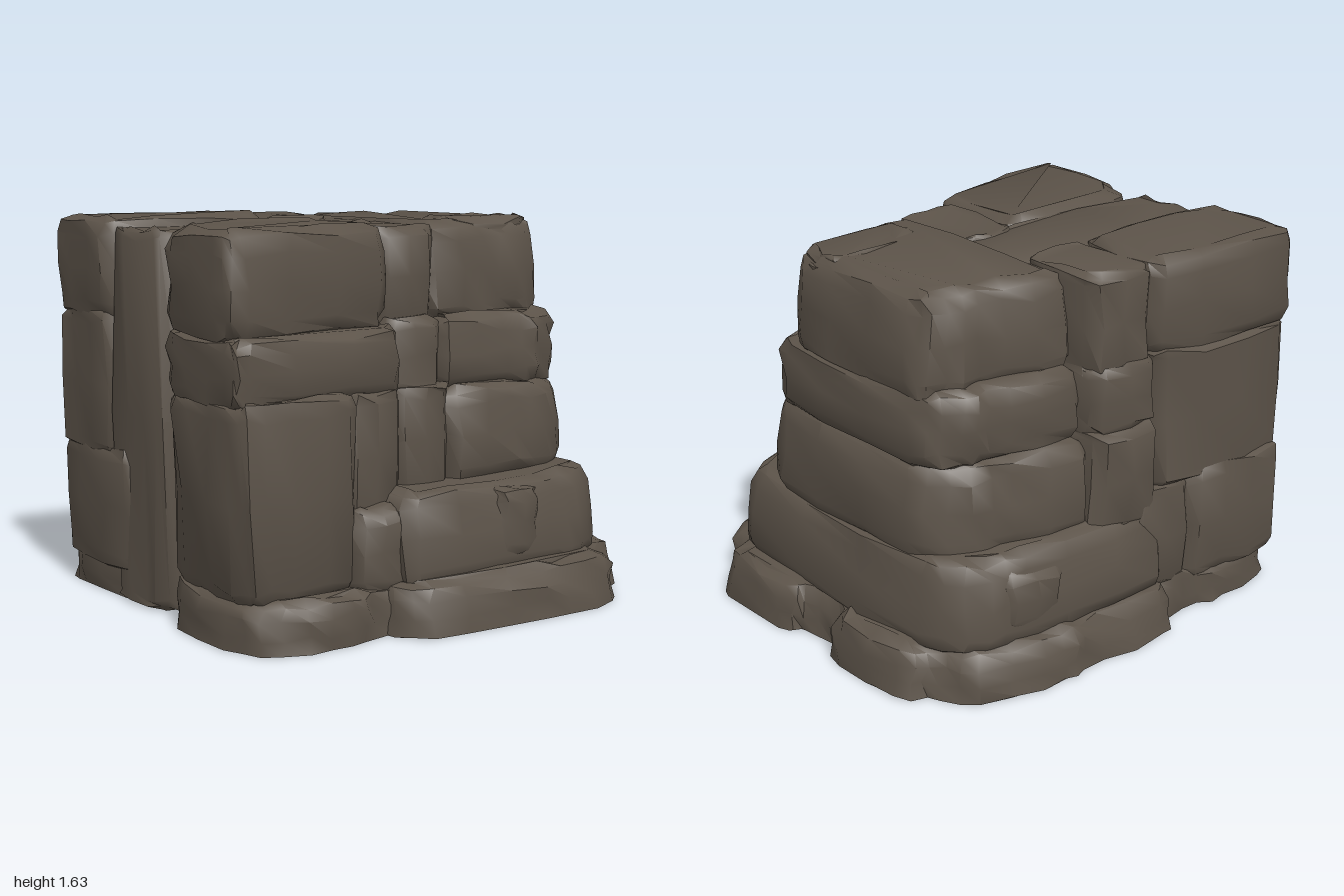
import * as THREE from 'three';
import { toCreasedNormals } from 'three/addons/utils/BufferGeometryUtils.js';

const rock = new THREE.MeshStandardMaterial({ color: 0x5c5349 });
rock.name = 'brown rock';

// repeatable noise from a position, -1..1
function noise(x, y, z, k) {
  const s = Math.sin(Math.round(x * 500) * 12.99 + Math.round(y * 500) * 78.23 + Math.round(z * 500) * 37.72 + k * 41.3) * 43758.5;
  return 2 * (s - Math.floor(s)) - 1;
}

// clip the corners of a plan outline and swell its edges a little
function weather(plan) {
  const out = [];
  plan.forEach(([ax, az], i) => {
    const [bx, bz] = plan[(i + 1) % plan.length];
    const dx = bx - ax, dz = bz - az, len = Math.hypot(dx, dz);
    const cut = Math.min(0.05 / len, 0.28);
    const steps = len > 0.5 ? [cut, 0.35, 0.68, 1 - cut] : len > 0.2 ? [cut, 0.5, 1 - cut] : [cut, 1 - cut];
    steps.forEach((t) => {
      const push = t > cut && t < 1 - cut ? 0.012 : 0;
      out.push(new THREE.Vector2(ax + dx * t + (dz / len) * push, -(az + dz * t - (dx / len) * push)));
    });
  });
  return out;
}

// one stone: plan outline [x, z] (clockwise from above), rounded above and below,
// widened towards its foot by flare, and roughened
function stone(name, y0, y1, plan, bevel = 0.06, flare = 0) {
  const geo = new THREE.ExtrudeGeometry(new THREE.Shape(weather(plan)), {
    depth: y1 - y0 - 2 * bevel, steps: 2, bevelEnabled: true, bevelSegments: 2,
    bevelThickness: bevel, bevelSize: bevel * 0.85, bevelOffset: -bevel * 0.85,
  });
  geo.rotateX(-Math.PI / 2).translate(0, y0 + bevel, 0);
  const p = geo.attributes.position;
  for (let i = 0; i < p.count; i++) {
    const x = p.getX(i), y = p.getY(i), z = p.getZ(i);
    const wide = 1 + flare * (y1 - Math.max(y, 0)) / (y1 - Math.max(y0, 0));
    p.setXYZ(i,
      THREE.MathUtils.clamp(x * wide + 0.014 * noise(x, y, z, 1), -1, 1),
      Math.max(0, y + 0.014 * noise(x, y, z, 2)),
      z * wide + 0.014 * noise(x, y, z, 3));
  }
  geo.deleteAttribute('uv');
  const mesh = new THREE.Mesh(toCreasedNormals(geo, 0.85), rock);
  mesh.name = name;
  return mesh;
}

// stone with straight sides, front and back edges slanting between left and right ends
const block = (name, y0, y1, xa, xb, backA, backB, frontA, frontB, bevel, flare) =>
  stone(name, y0, y1, [[xa, backA], [xb, backB], [xb, frontB], [xa, frontA]], bevel, flare);

// front wall stone whose outer end leaves a cleft beside the saddle; chop clips its front corner
const wallEnd = (name, y0, y1, xb, frontA, frontB, chop, bevel, flare) =>
  stone(name, y0, y1, [[-0.82, -0.01], [xb, -0.01], [xb, frontB], [-1 + chop, frontA],
    [-1, frontA - chop], [-1, 0.2]], bevel, flare);

export function createModel() {
  const model = new THREE.Group();
  model.name = 'rockOutcrop';
  const add = (...m) => model.add(...m);

  // solid heart that closes the seams
  const core = new THREE.Mesh(new THREE.BoxGeometry(1.46, 1.48, 0.84), rock);
  core.name = 'core';
  core.position.set(-0.05, 0.78, -0.08);
  add(core);

  // foot slabs, cut flat at the ground
  add(stone('footRight', -0.08, 0.21, [
    [-0.27, -0.8], [-0.23, -0.89], [0.2, -0.87], [0.42, -0.89], [0.79, -0.8], [0.83, -0.63],
    [0.95, -0.6], [0.97, -0.15], [0.88, -0.1], [0.88, 0.1], [0.97, 0.15], [0.97, 0.6], [0.84, 0.65],
    [0.79, 0.82], [0.42, 0.9], [-0.25, 0.9], [-0.33, 0.76]], 0.075, 0.04));
  add(stone('footLeft', -0.08, 0.2, [
    [-0.93, -0.82], [-0.6, -0.87], [-0.45, -0.82], [-0.2, -0.84], [-0.2, 0.78], [-0.36, 0.78],
    [-0.58, 0.87], [-0.88, 0.82], [-0.98, 0.68], [-0.98, 0.2], [-0.78, 0.02], [-0.9, -0.1], [-0.97, -0.72]], 0.07));

  // stepped tower: bottom, top, right end, front and back depths (inner, outer), corner clip, flare
  const tiers = [
    [0.17, 0.56, 0.84, 0.8, 0.71, -0.82, -0.75, 0.14, 0.06],
    [0.52, 0.93, 0.805, 0.6, 0.53, -0.75, -0.62, 0.13, 0.04],
    [0.9, 1.22, 0.8, 0.54, 0.48, -0.7, -0.6, 0.1, 0.01],
    [1.18, 1.6, 0.755, 0.42, 0.34, -0.62, -0.5, 0.06, 0.06],
  ];
  tiers.forEach(([y0, y1, xr, fIn, fOut, bIn, bOut, c, flare], i) => {
    const xl = i === 0 ? -0.25 : 0.09;
    add(stone('towerTier' + (i + 1), y0, y1, [
      [xl, bIn], [xr - 0.3, bOut - 0.04], [xr - c, bOut], [xr, bOut + c],
      [xr, fOut - c], [xr - c, fOut], [xr - 0.3, fOut + 0.03], [xl, fIn]], 0.075, flare));
  });
  // loose stones leaning on the lowest tier
  add(block('leaningStoneFront', 0.24, 0.53, 0.18, 0.46, 0.2, 0.2, 0.82, 0.79));
  add(block('leaningStoneBack', 0.22, 0.5, 0.3, 0.62, -0.84, -0.81, 0, 0));
  add(block('towerCap', 1.5, 1.61, 0.22, 0.73, 0.14, 0.05, 0.38, 0.32, 0.045));

  // narrow columns beside the tower, front and back
  [[0.5, 0.95, 0.59, -0.8], [0.92, 1.22, 0.52, -0.78], [1.17, 1.6, 0.45, -0.75]].forEach(([y0, y1, f, b]) => {
    add(block('frontColumn', y0, y1, -0.17, 0.13, -0.03, -0.03, f + 0.02, f, 0.045));
    add(block('backColumn', y0, y1, -0.24, 0.11, b - 0.02, b, -0.33, -0.33, 0.045));
  });

  // low saddle running across between the front and back blocks, down to the ground
  add(stone('saddle', 0, 1.585, [[-0.955, -0.4], [0.2, -0.4], [0.2, 0.03], [-0.9, 0.03], [-0.955, -0.05]], 0.04));

  // front left wall
  add(wallEnd('frontTopBlock', 1.17, 1.61, -0.16, 0.69, 0.54, 0.05, 0.1));
  add(wallEnd('frontBand', 0.93, 1.2, -0.14, 0.75, 0.63, 0.03));
  add(wallEnd('frontPillar', 0.16, 0.97, -0.43, 0.8, 0.75, 0.06, 0.07, -0.05));
  add(block('frontInset', 0.45, 0.96, -0.46, -0.14, 0, 0, 0.69, 0.63));
  add(block('frontInsetFoot', 0.15, 0.5, -0.46, -0.2, 0, 0, 0.75, 0.77));

  // back left wall
  add(block('backTopBlock', 1.18, 1.62, -1, -0.2, -0.85, -0.8, -0.34, -0.34, 0.08));
  add(block('backMiddleBlock', 0.6, 1.23, -0.985, -0.22, -0.84, -0.82, -0.33, -0.33, 0.05));
  add(block('backLowerBlock', 0.12, 0.66, -0.98, -0.42, -0.86, -0.85, -0.2, -0.2, 0.07));
  add(block('backLowerInset', 0.14, 0.64, -0.46, -0.1, -0.82, -0.82, -0.3, -0.3, 0.06));

  return model;
}
